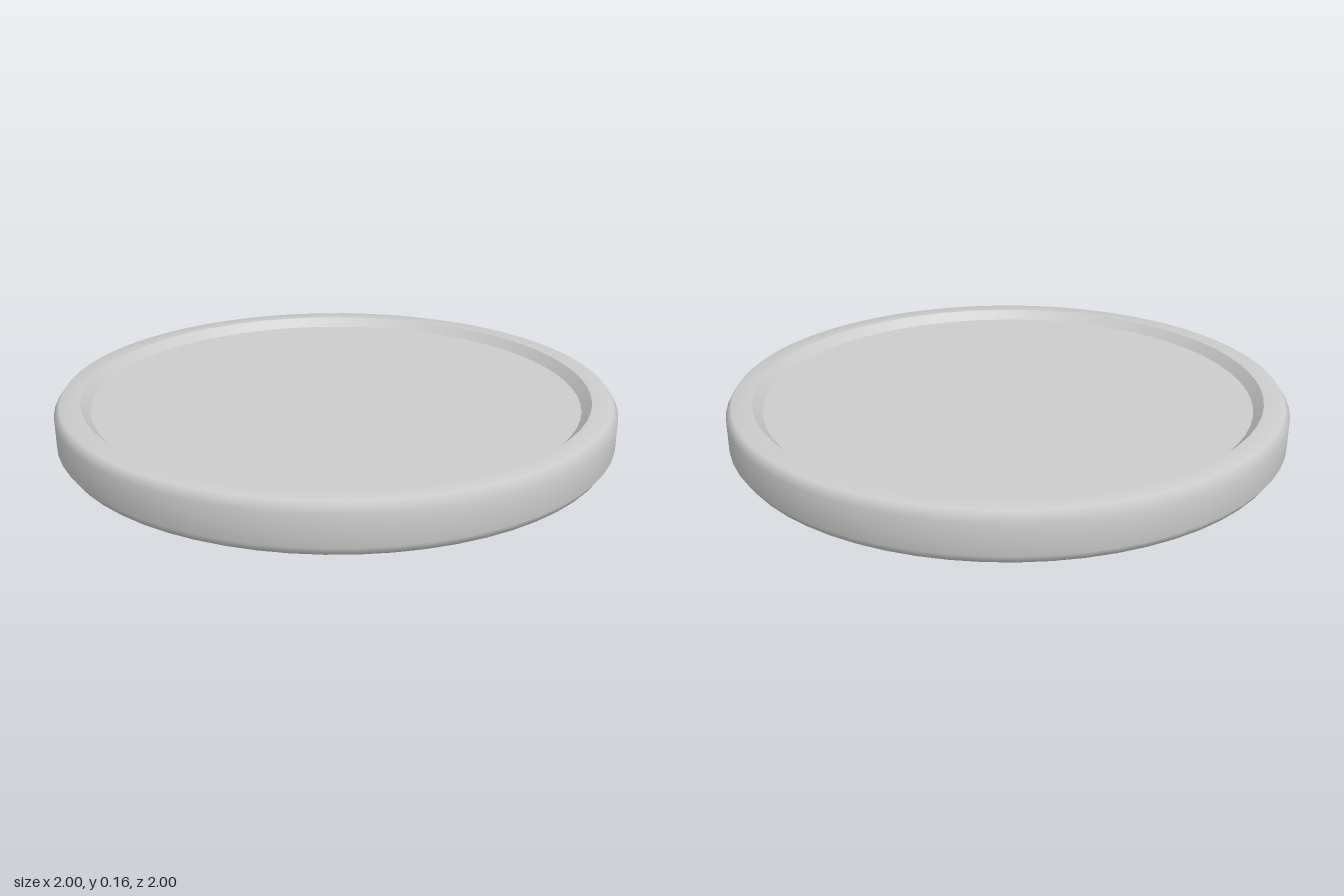
import * as THREE from 'three';

const SEGMENTS = 64;
const HEIGHT = 0.164;
const RECESS = 0.035;
const R_LIP = 0.91;
const R_FACE = 0.877;

export function createModel() {
  const group = new THREE.Group();
  const material = new THREE.MeshStandardMaterial({ color: 0xcccccc });

  // Revolves a profile of [radius, height] pairs around the y axis
  const revolve = (name, profile) => {
    const points = profile.map(([r, y]) => new THREE.Vector2(r, y));
    const mesh = new THREE.Mesh(new THREE.LatheGeometry(points, SEGMENTS), material);
    mesh.name = name;
    group.add(mesh);
  };

  // Raised rim with softly shaded bevels
  revolve('rim', [
    [R_LIP, 0], [0.98, 0], [1, 0.03],
    [1, HEIGHT - 0.03], [0.98, HEIGHT], [R_LIP, HEIGHT],
  ]);

  // Sloped walls leading down to the recessed faces, top and bottom
  revolve('upperRimSlope', [[R_LIP, HEIGHT], [R_FACE, HEIGHT - RECESS]]);
  revolve('lowerRimSlope', [[R_FACE, RECESS], [R_LIP, 0]]);

  // Flat recessed faces
  for (const side of [1, -1]) {
    const face = new THREE.Mesh(new THREE.CircleGeometry(R_FACE, SEGMENTS), material);
    face.name = side > 0 ? 'upperFace' : 'lowerFace';
    face.rotation.x = -side * Math.PI / 2;
    face.position.y = side > 0 ? HEIGHT - RECESS : RECESS;
    group.add(face);
  }

  return group;
}
